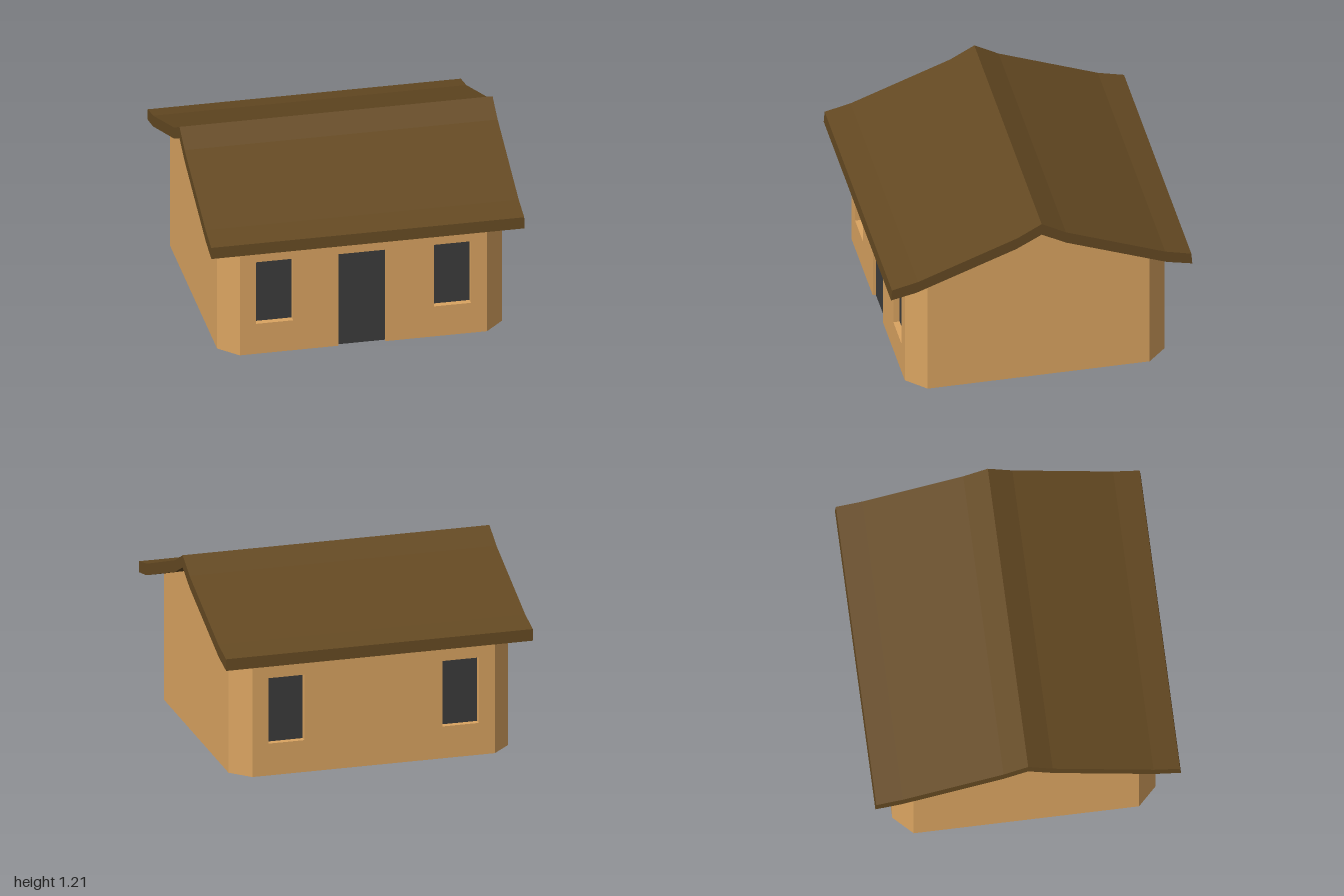
import * as THREE from 'three';

const paint = (color) => new THREE.MeshStandardMaterial({ color, flatShading: true, side: THREE.DoubleSide });
const outline = (pts) => new THREE.Shape(pts.map(([x, y]) => new THREE.Vector2(x, y)));

// Footprint, chamfered corners and openings
const W = 0.91, D = 0.83, WX = 0.79, DZ = 0.71, EAVE = 0.798, SHOULDER = 0.839;
const REVEAL = 0.04;
const door = { x0: -0.16, x1: 0.14, top: 0.645, recess: 0.02 };
const win = { x: 0.568, y: 0.428, w: 0.235, h: 0.434 };

export function createModel() {
  const house = new THREE.Group();
  house.name = 'house';
  const wallMat = paint(0xdaa461), roofMat = paint(0x644922), darkMat = paint(0x3c3c3c);

  const add = (name, geometry, material, parent = house) => {
    const mesh = new THREE.Mesh(geometry, material);
    mesh.name = name;
    parent.add(mesh);
    return mesh;
  };

  // Long wall with two recessed windows, facing +z before it is turned
  function longWall(name, hasDoor) {
    const wall = new THREE.Group();
    wall.name = name;
    const notch = hasDoor
      ? [[door.x0, 0], [door.x0, door.top], [door.x1, door.top], [door.x1, 0]] : [];
    const shape = outline([[-WX, 0], ...notch, [WX, 0], [WX, EAVE], [-WX, EAVE]]);
    for (const s of [-1, 1]) {
      const l = s * win.x - win.w / 2, r = l + win.w;
      const b = win.y - win.h / 2, t = b + win.h;
      shape.holes.push(outline([[l, b], [l, t], [r, t], [r, b]]));
      const pane = new THREE.PlaneGeometry(win.w, win.h);
      pane.translate(s * win.x, win.y, D - REVEAL);
      add('windowPane', pane, darkMat, wall);
    }
    const panel = new THREE.ExtrudeGeometry(shape, { depth: REVEAL, bevelEnabled: false });
    panel.translate(0, 0, D - REVEAL);
    add('wallPanel', panel, wallMat, wall);
    house.add(wall);
    return wall;
  }
  longWall('frontWall', true);
  longWall('backWall', false).rotation.y = Math.PI;

  // Gable walls
  const gable = outline([[-DZ, 0], [DZ, 0], [DZ, SHOULDER], [0.16, 1.045], [0, 1.13], [-0.16, 1.045], [-DZ, SHOULDER]]);
  for (const s of [-1, 1]) {
    const end = add(s > 0 ? 'leftGable' : 'rightGable', new THREE.ShapeGeometry(gable), wallMat);
    end.rotation.y = s * Math.PI / 2;
    end.position.x = s * W;
  }

  // Chamfered corner faces
  for (const sx of [-1, 1]) for (const sz of [-1, 1]) {
    const a = [sx * WX, 0, sz * D], b = [sx * W, 0, sz * DZ];
    const c = [sx * W, SHOULDER, sz * DZ], d = [sx * WX, EAVE, sz * D];
    const corner = new THREE.BufferGeometry();
    corner.setAttribute('position', new THREE.Float32BufferAttribute([a, b, c, d].flat(), 3));
    corner.setIndex(sx * sz > 0 ? [0, 1, 2, 0, 2, 3] : [0, 2, 1, 0, 3, 2]);
    corner.computeVertexNormals();
    add('cornerFace', corner, wallMat);
  }

  // Floor, cut away where the door block reaches the ground
  const floor = new THREE.ShapeGeometry(outline([
    [-WX, -D], [WX, -D], [W, -DZ], [W, DZ], [WX, D], [door.x1, D], [door.x1, 0.01],
    [door.x0, 0.01], [door.x0, D], [-WX, D], [-W, DZ], [-W, -DZ],
  ]));
  floor.rotateX(Math.PI / 2);
  add('floor', floor, wallMat);

  // Door block running into the house
  const depth = D - door.recess - 0.01;
  const doorMesh = add('door', new THREE.BoxGeometry(door.x1 - door.x0, door.top, depth), darkMat);
  doorMesh.position.set((door.x0 + door.x1) / 2, door.top / 2, 0.01 + depth / 2);

  // Kinked roof slab: half profile mirrored across the ridge, swept along x
  const top = [[0.957, 0.845], [0.79, 0.885], [0.155, 1.125]];
  const under = [[0.16, 1.045], [0.8, 0.805], [0.963, 0.77]];
  const flip = (pts) => pts.map(([x, y]) => [-x, y]).reverse();
  const roof = new THREE.ExtrudeGeometry(
    outline([...top, [0, 1.21], ...flip(top), ...flip(under), [0, 1.13], ...under]),
    { depth: 2, bevelEnabled: false });
  roof.translate(0, 0, -1);
  roof.rotateY(Math.PI / 2);
  add('roof', roof, roofMat);

  return house;
}
